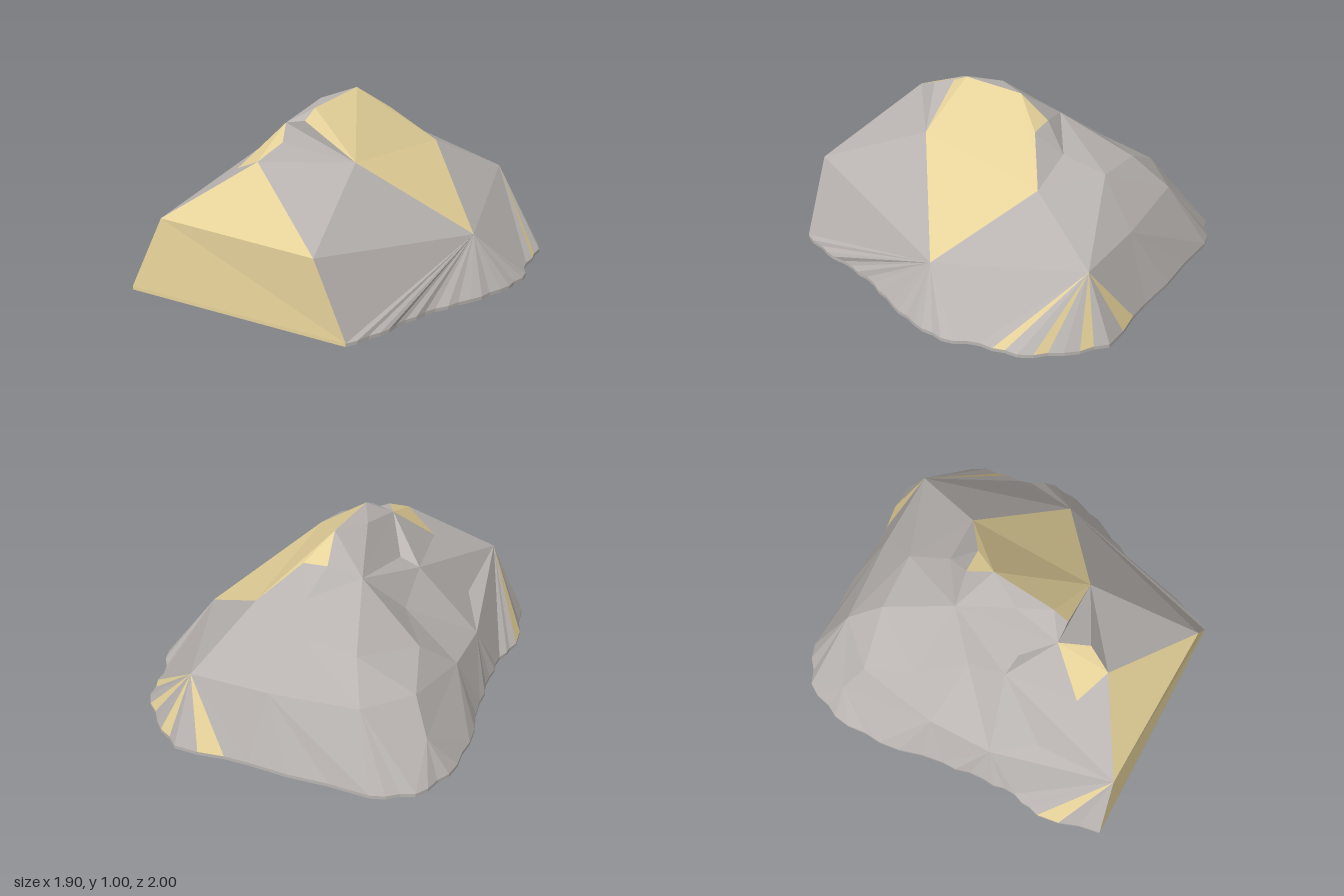
import * as THREE from 'three';

// Crags of the rock: x, y, z
const crags = {
  // front slab and right face
  A: [-0.66, 0.45, 0.95], B: [0.33, 0.45, 1], C: [-0.21, 0.77, 0.68], D: [0.21, 0.745, 0.37],
  E: [0.74, 0.31, 0], G: [0.29, 0.655, -0.4], H: [0.49, 0.4, -0.83],
  // summit ridge
  P: [-0.05, 1, -0.09], O: [-0.09, 0.98, 0.29], Q: [-0.1, 0.93, 0.38], e: [-0.17, 0.97, 0.1],
  N: [-0.22, 0.9, 0.38], R: [-0.14, 0.85, 0.54], Y: [-0.26, 0.82, -0.22],
  F: [-0.07, 0.87, -0.25], f: [0.07, 0.86, -0.25],
};
// back slope and broken flank
Object.assign(crags, {
  m: [0, 0.73, -0.39], M: [-0.06, 0.645, -0.62], K: [0.04, 0.4, -0.84], L: [-0.47, 0.41, -0.81],
  S: [-0.38, 0.6, -0.62], T: [-0.8, 0.22, -0.68], U: [-0.7, 0.41, -0.58], V: [-0.78, 0.33, -0.12],
  W: [-0.62, 0.52, -0.3], X: [-0.45, 0.57, -0.05], Z: [-0.45, 0.7, 0.18], d: [-0.33, 0.73, 0.2],
  a: [-0.65, 0.4, 0.49], b: [-0.78, 0.3, 0.25], c: [-0.4, 0.67, 0.59],
});

// Fans of facets: the first letter is the hub, the rest its neighbours in order
const greyFans = ['DEBCRN', 'DNQ', 'GEHMmf', 'MHK', 'MmYSLK', 'FfmYP', 'ONQ', 'ONeP', 'ePYN', 'dNY',
  'ZNdYXbaAcN', 'CAc', 'WYSUVXY', 'LSUT', 'VUT', 'VXb', 'abA'];
const tanFans = ['DQOPGE', 'PGfF', 'CRN', 'CNc', 'CAB'];

// Outline of the foot (x, z), from the front right corner round the back
const foot = [[0.52, 1], [0.61, 0.8], [0.65, 0.6], [0.72, 0.4], [0.83, 0.2], [0.91, 0], [0.95, -0.2],
  [0.88, -0.4], [0.86, -0.62], [0.72, -0.82], [0.53, -0.99], [0.1, -0.98], [-0.6, -1], [-0.82, -0.9],
  [-0.93, -0.68], [-0.95, -0.38], [-0.89, 0], [-0.87, 0.25], [-0.87, 0.45], [-0.92, 0.62], [-0.85, 0.98]];
// Each shoulder crag and the stretch of the foot that it spreads down to
const skirts = [['E', 0, 7], ['H', 7, 11], ['K', 11, 12], ['L', 12, 13], ['T', 13, 15],
  ['V', 15, 16], ['b', 16, 18], ['A', 18, 20]];
const STEPS = 3;
const LIP = 0.02;

function facetMesh(name, triangles, color) {
  const geometry = new THREE.BufferGeometry();
  geometry.setAttribute('position', new THREE.Float32BufferAttribute(triangles.flat(2), 3));
  geometry.computeVertexNormals();
  const mesh = new THREE.Mesh(geometry, new THREE.MeshStandardMaterial({ color, flatShading: true }));
  mesh.name = name;
  return mesh;
}

// Turns a facet so that it faces away from the middle of the base
function outward(p, q, r) {
  const [u, v, w] = [p, q, r].map((k) => new THREE.Vector3(...k));
  const normal = v.sub(u).cross(w.sub(u));
  return normal.dot(u) < 0 ? [p, r, q] : [p, q, r];
}

function fan(list, letters) {
  const [hub, ...rim] = [...letters].map((k) => crags[k]);
  for (let i = 0; i + 1 < rim.length; i++) list.push(outward(hub, rim[i], rim[i + 1]));
}

// Foot outline, subdivided with a slightly ragged edge
function raggedFoot() {
  const points = [];
  for (let i = 0; i + 1 < foot.length; i++) {
    for (let s = 0; s < STEPS; s++) {
      const t = s / STEPS;
      const grow = s === 1 ? 1.01 : s === 2 ? 0.995 : 1;
      const at = (k) => THREE.MathUtils.clamp((foot[i][k] * (1 - t) + foot[i + 1][k] * t) * grow, -1, 1);
      points.push([at(0), at(1)]);
    }
  }
  points.push(foot[foot.length - 1]);
  return points;
}

export function createModel() {
  const grey = [], tan = [], baseGrey = [], baseTan = [];
  greyFans.forEach((f) => fan(grey, f));
  tanFans.forEach((f) => fan(tan, f));

  const outline = raggedFoot();
  const low = outline.map(([x, z]) => [x, 0, z]);
  const high = outline.map(([x, z]) => [x, LIP, z]);
  const last = outline.length - 1;

  // Skirt running from the shoulder crags down to the foot
  let previous = 'B';
  for (const [key, from, to] of skirts) {
    grey.push(outward(crags[previous], crags[key], high[from * STEPS]));
    for (let i = from * STEPS; i < to * STEPS; i++) {
      const streak = (key === 'H' && i % 3 === 1) || (key === 'A' && i % 4 === 1);
      (streak ? tan : grey).push(outward(crags[key], high[i], high[i + 1]));
    }
    previous = key;
  }

  // Flat front face
  tan.push(outward(crags.A, crags.B, high[0]), outward(crags.A, high[0], high[last]));

  // Thin lip and underside
  const hub = [0.46, 0, 0.31];
  for (let i = 0; i <= last; i++) {
    const j = (i + 1) % (last + 1);
    const lip = i === last ? tan : grey;
    lip.push([low[i], low[j], high[j]], [low[i], high[j], high[i]]);
    (i === last ? baseTan : baseGrey).push([hub, low[j], low[i]]);
  }

  const group = new THREE.Group();
  group.name = 'rock';
  group.add(
    facetMesh('greyFacets', grey, 0xb9b4b1),
    facetMesh('sandyFacets', tan, 0xe6d29a),
    facetMesh('greyUnderside', baseGrey, 0xb9b4b1),
    facetMesh('sandyUnderside', baseTan, 0xe6d29a),
  );
  return group;
}
